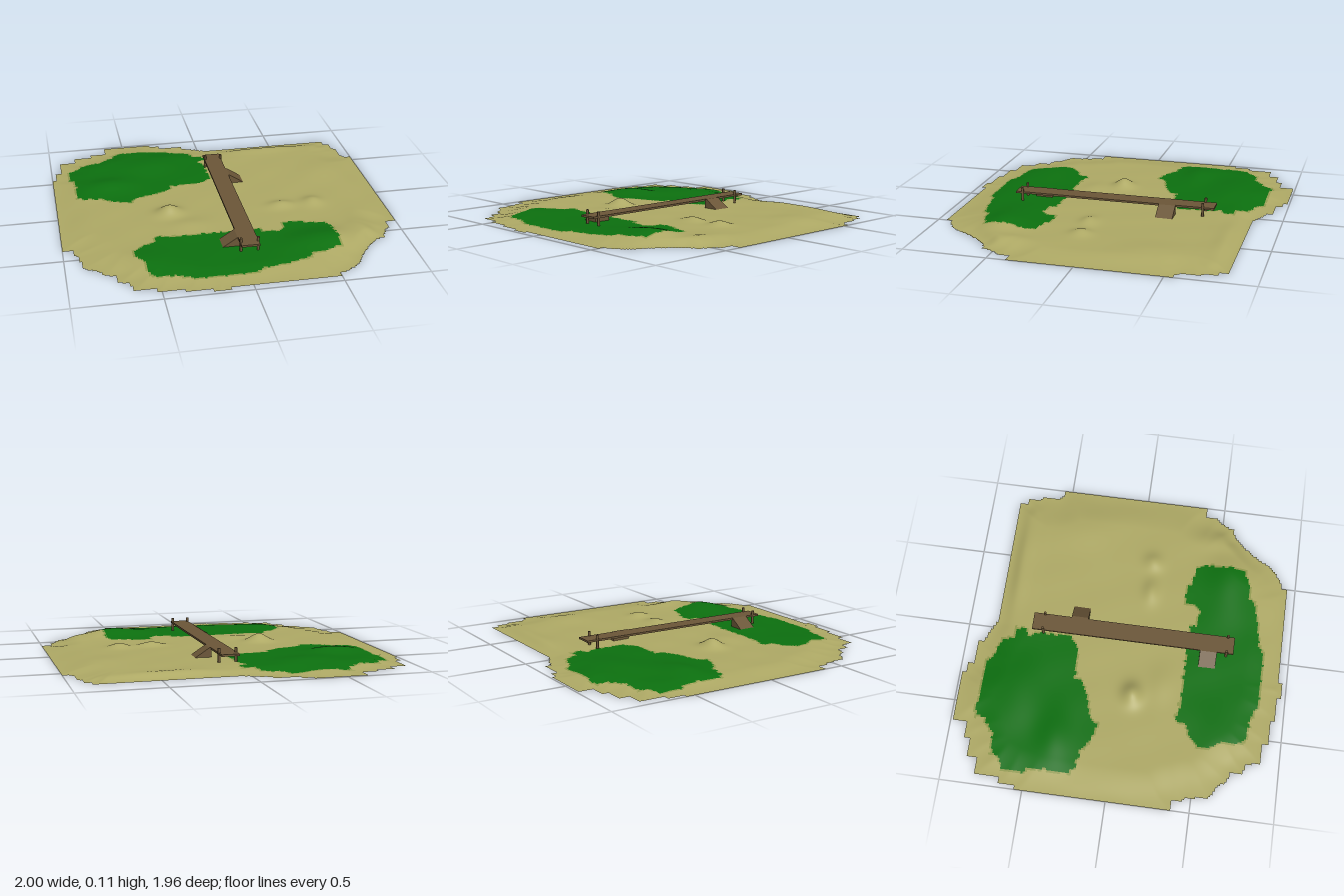
import * as THREE from 'three';

const mat = (name, color, side = THREE.FrontSide) => {
  const m = new THREE.MeshStandardMaterial({ color, side });
  m.name = name;
  return m;
};

// Ground plan outlines as x, z pairs
const SHORE = [
  -0.63, -0.99, -0.32, -0.99, -0.31, -0.96, -0.25, -0.96, -0.25, -0.92, -0.1, -0.92, -0.1, -0.89, -0.02, -0.86,
  0.04, -0.83, 0.87, -0.83, 0.87, -0.77, 0.91, -0.77, 0.91, -0.7, 0.93, -0.7, 0.94, -0.58, 0.97, -0.55, 1.01, -0.55,
  1.01, 0.39, 0.94, 0.39, 0.94, 0.46, 0.9, 0.5, 0.87, 0.57, 0.8, 0.6, 0.75, 0.66, 0.68, 0.75, 0.65, 0.82, 0.56, 0.9,
  0.5, 0.92, 0.5, 0.95, -0.13, 0.95, -0.13, 0.98, -0.22, 0.98, -0.22, 0.95, -0.37, 0.95, -0.37, 0.92, -0.53, 0.92,
  -0.53, 0.89, -0.65, 0.89, -0.66, 0.8, -0.72, 0.79, -0.72, 0.72, -0.78, 0.7, -0.82, 0.65, -0.9, 0.6, -0.91, 0.47,
  -0.94, 0.45, -0.94, 0.39, -1.01, 0.39, -1.01, -0.55, -0.97, -0.55, -0.97, -0.65, -0.94, -0.65, -0.94, -0.8,
  -0.84, -0.8, -0.84, -0.86, -0.72, -0.86, -0.72, -0.9, -0.63, -0.9,
];
const BACK_GRASS = [
  -0.58, -0.85, -0.52, -0.87, -0.5, -0.85, -0.22, -0.85, -0.2, -0.81, -0.08, -0.78, -0.05, -0.7, 0.01, -0.7,
  0.01, -0.64, -0.04, -0.62, -0.01, -0.58, 0, -0.36, -0.06, -0.31, -0.27, -0.29, -0.28, -0.25, -0.38, -0.2,
  -0.51, -0.16, -0.54, -0.11, -0.64, -0.14, -0.72, -0.19, -0.82, -0.21, -0.86, -0.24, -0.86, -0.48, -0.89, -0.52,
  -0.89, -0.64, -0.82, -0.67, -0.8, -0.72, -0.68, -0.73, -0.63, -0.77, -0.58, -0.8,
];
const FRONT_GRASS = [
  -0.46, 0.37, -0.43, 0.35, -0.4, 0.37, 0.16, 0.37, 0.17, 0.41, 0.28, 0.42, 0.31, 0.38, 0.31, 0.32, 0.43, 0.32,
  0.45, 0.35, 0.56, 0.37, 0.58, 0.41, 0.58, 0.67, 0.51, 0.7, 0.4, 0.72, 0.36, 0.76, 0.2, 0.79, 0.08, 0.81,
  0.05, 0.84, -0.3, 0.84, -0.37, 0.8, -0.53, 0.78, -0.55, 0.73, -0.55, 0.64, -0.6, 0.57, -0.6, 0.5, -0.53, 0.44,
  -0.47, 0.42,
];

// Signed distance to an outline, positive inside
function inset(outline, x, z) {
  let best = Infinity, inside = false;
  const n = outline.length;
  for (let i = 0, j = n - 2; i < n; j = i, i += 2) {
    const ax = outline[j], az = outline[j + 1], dx = outline[i] - ax, dz = outline[i + 1] - az;
    const t = THREE.MathUtils.clamp(((x - ax) * dx + (z - az) * dz) / (dx * dx + dz * dz), 0, 1);
    best = Math.min(best, Math.hypot(x - ax - t * dx, z - az - t * dz));
    if ((az > z) !== (az + dz > z) && x < ax + dx * (z - az) / dz) inside = !inside;
  }
  return inside ? best : -best;
}

// Dunes: centre x, z, height, radius x, radius z
const DUNES = [
  [-0.33, 0.07, 0.05, 0.07, 0.06], [-0.25, 0.24, 0.012, 0.12, 0.08],
  [0.36, 0.1, 0.024, 0.08, 0.05], [0.56, 0.09, 0.026, 0.06, 0.06],
  [0.52, 0.58, 0.036, 0.24, 0.13], [0.76, 0.5, 0.018, 0.07, 0.14],
  [0.45, -0.74, 0.022, 0.38, 0.07], [-0.65, -0.36, 0.026, 0.16, 0.1],
  [-0.4, -0.62, 0.02, 0.2, 0.14], [-0.5, 0.62, 0.012, 0.16, 0.12], [0.72, -0.35, 0.012, 0.15, 0.2],
];

function groundHeight(x, z) {
  const d = Math.max(0, inset(SHORE, x, z));
  let y = 0.022 * THREE.MathUtils.smoothstep(d, 0, 0.22);
  let bumps = 0.0015 * Math.sin(x * 17 + z * 5) * Math.sin(z * 14 - x * 4);
  for (const [cx, cz, h, rx, rz] of DUNES) bumps += h * Math.exp(-(((x - cx) / rx) ** 2) - ((z - cz) / rz) ** 2);
  y += bumps * THREE.MathUtils.smoothstep(d, 0, 0.1);
  return Math.max(0, y);
}

// Open sheet of small square cells, sorted into sand, fringe and grass
function groundGeometry() {
  const N = 160, step = 2 / N, positions = [], lists = [[], [], []];
  for (let r = 0; r <= N; r++) {
    for (let c = 0; c <= N; c++) {
      const x = -1 + c * step, z = -1 + r * step;
      positions.push(x, groundHeight(x, z), z);
    }
  }
  for (let r = 0; r < N; r++) {
    for (let c = 0; c < N; c++) {
      const x = -1 + (c + 0.5) * step, z = -1 + (r + 0.5) * step;
      if (inset(SHORE, x, z) < 0) continue;
      const ragged = 0.006 * Math.sin(x * 90 + z * 31) * Math.sin(z * 80 - x * 23);
      const grass = Math.max(inset(BACK_GRASS, x, z), inset(FRONT_GRASS, x, z)) + ragged;
      const list = lists[grass > 0 ? 2 : grass > -0.01 ? 1 : 0];
      const a = r * (N + 1) + c, b = a + 1, d = a + N + 1, e = d + 1;
      list.push(a, d, b, b, d, e);
    }
  }
  const g = new THREE.BufferGeometry();
  g.setAttribute('position', new THREE.Float32BufferAttribute(positions, 3));
  g.setIndex(lists.flat());
  let start = 0;
  lists.forEach((l, i) => { g.addGroup(start, l.length, i); start += l.length; });
  g.computeVertexNormals();
  return g;
}

export function createModel() {
  const model = new THREE.Group();
  model.name = 'islandWithBridge';
  const sand = mat('sand', 0xaea965, THREE.DoubleSide);
  const fringe = mat('grassFringe', 0x91994f, THREE.DoubleSide);
  const grass = mat('grass', 0x0c700f, THREE.DoubleSide);
  const wood = mat('wood', 0x6b5638);

  const add = (parent, name, geometry, material, x = 0, y = 0, z = 0) => {
    const m = new THREE.Mesh(geometry, material);
    m.name = name;
    m.position.set(x, y, z);
    parent.add(m);
    return m;
  };

  add(model, 'ground', groundGeometry(), [sand, fringe, grass]);

  const bridge = new THREE.Group();
  bridge.name = 'bridge';
  model.add(bridge);

  // Long flat deck
  add(bridge, 'deck', new THREE.BoxGeometry(0.108, 0.012, 1.25), wood, 0.049, 0.073, 0.027);

  // Corner posts
  const post = new THREE.CylinderGeometry(0.008, 0.008, 0.085, 10);
  for (const x of [0, 0.1]) for (const z of [-0.53, 0.61]) add(bridge, 'post', post, wood, x, 0.0625, z);

  // Sloped ramps, one on each side of the deck
  const side = new THREE.Shape([[0, 0.014], [0.1, 0.014], [0.1, 0.022], [0.012, 0.079], [0, 0.079]]
    .map(([x, y]) => new THREE.Vector2(x, y)));
  const ramp = new THREE.ExtrudeGeometry(side, { depth: 0.104, bevelEnabled: false });
  add(bridge, 'leftRamp', ramp, wood, 0.099, 0, -0.365);
  add(bridge, 'rightRamp', ramp, wood, 0.004, 0, 0.552).rotation.y = Math.PI;
  return model;
}
